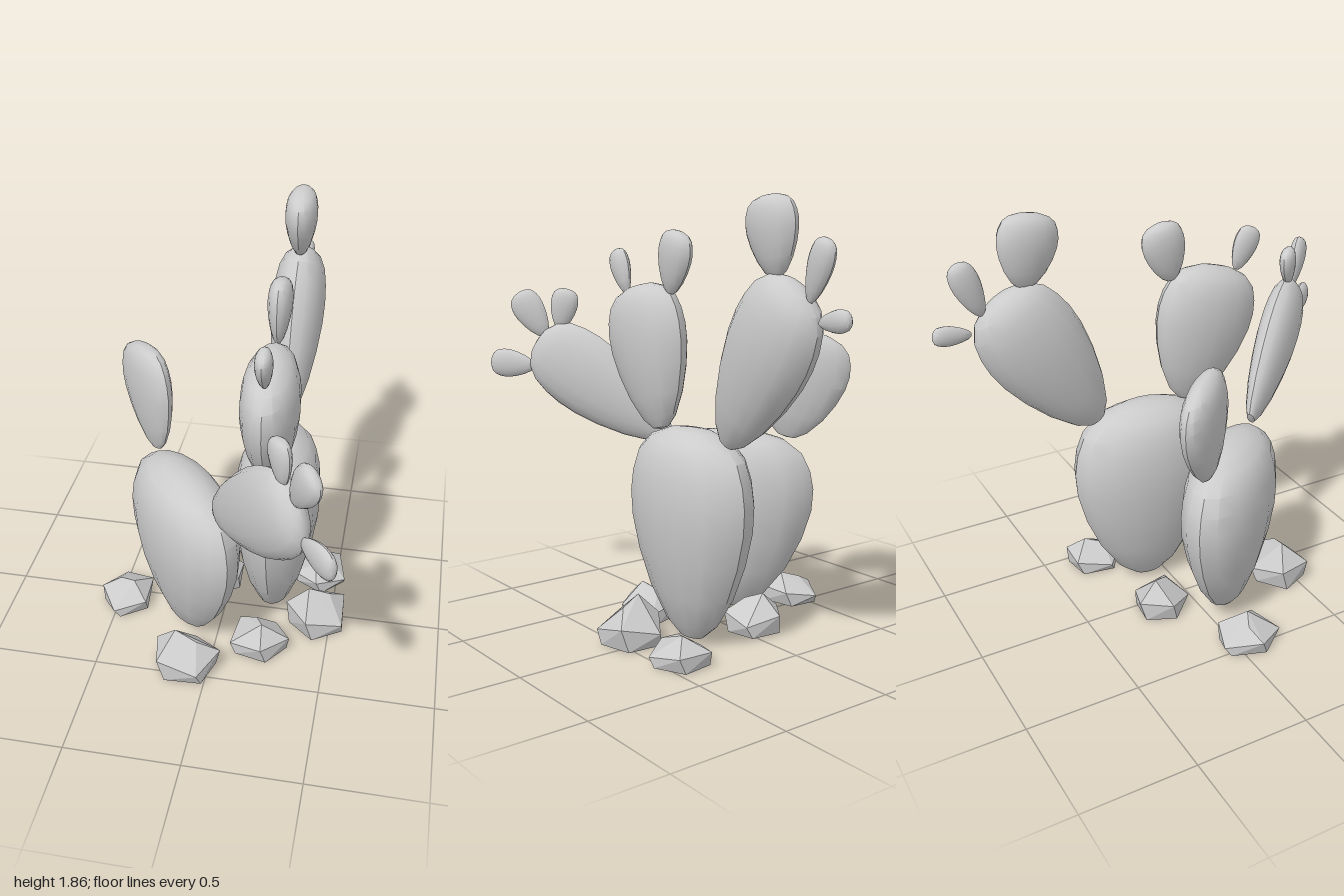
import * as THREE from 'three';
import { toCreasedNormals } from 'three/addons/utils/BufferGeometryUtils.js';
import { ConvexGeometry } from 'three/addons/geometries/ConvexGeometry.js';

const material = new THREE.MeshStandardMaterial({ color: 0xcccccc });

// Egg outline shared by all pads: [radius, height], blunt foot, widest above the middle
const outline = [[0, 0], [0.2, 0.012], [0.42, 0.08], [0.68, 0.23], [0.87, 0.4], [0.98, 0.56],
  [1, 0.68], [0.96, 0.78], [0.86, 0.875], [0.66, 0.945], [0.36, 0.985], [0, 1]]
  .map(([r, y]) => new THREE.Vector2(r, y));

// Normals of the two vertical planes in which the plants fan out
const straight = new THREE.Vector3(1, 0, 0);
const slanted = new THREE.Vector3(0.77, 0, -0.64).normalize();

// Flattened pad running from a base point to a tip point
function pad(name, normal, base, tip, width, thickness) {
  const foot = new THREE.Vector3(...base);
  const axis = new THREE.Vector3(...tip).sub(foot).projectOnPlane(normal);
  const length = axis.length();
  axis.normalize();
  const side = new THREE.Vector3().crossVectors(axis, normal);
  const geometry = new THREE.LatheGeometry(outline, 16);
  geometry.scale(width / 2, length, thickness / 2);
  const mesh = new THREE.Mesh(toCreasedNormals(geometry, 0.6), material);
  mesh.name = name;
  mesh.quaternion.setFromRotationMatrix(new THREE.Matrix4().makeBasis(side, axis, normal));
  mesh.position.copy(foot);
  return mesh;
}

// Angular stone: flat pentagon foot, wider shoulder, off-centre ridge
function rock(x, z, rx, rz, height, turn) {
  const points = [];
  for (let i = 0; i < 5; i++) {
    const a = turn + (i / 5) * Math.PI * 2;
    const shoulder = i % 2 ? 0.3 : 0.5;
    points.push(new THREE.Vector3(Math.cos(a) * rx * 0.9, 0, Math.sin(a) * rz * 0.9));
    points.push(new THREE.Vector3(Math.cos(a + 0.2) * rx, height * shoulder, Math.sin(a + 0.2) * rz));
  }
  points.push(new THREE.Vector3(Math.cos(turn) * rx * 0.3, height, Math.sin(turn) * rz * 0.3));
  points.push(new THREE.Vector3(-Math.cos(turn) * rx * 0.35, height * 0.82, -Math.sin(turn) * rz * 0.35));
  const mesh = new THREE.Mesh(new ConvexGeometry(points), material);
  mesh.name = 'rock';
  mesh.position.set(x, 0, z);
  return mesh;
}

export function createModel() {
  const model = new THREE.Group();
  model.name = 'cactus';

  // Larger plant, fanning front to back
  const large = new THREE.Group();
  large.name = 'largePlant';
  [
    ['trunkPad', [0.22, 0.01, -0.08], [0.22, 0.92, -0.08], 0.7, 0.38],
    ['rearArm', [0.22, 0.88, -0.31], [0.22, 1.53, -0.73], 0.43, 0.24],
    ['rearTopBud', [0.22, 1.55, -0.61], [0.22, 1.855, -0.565], 0.26, 0.14],
    ['rearMiddleBud', [0.22, 1.47, -0.79], [0.22, 1.7, -0.88], 0.12, 0.07],
    ['rearLowerBud', [0.22, 1.4, -0.84], [0.22, 1.42, -1], 0.085, 0.05],
    ['centreArm', [0.22, 0.88, 0.13], [0.22, 1.49, 0.28], 0.48, 0.24],
    ['centreBackBud', [0.22, 1.46, 0.06], [0.22, 1.72, 0.0], 0.2, 0.1],
    ['centreFrontBud', [0.22, 1.45, 0.38], [0.22, 1.635, 0.46], 0.12, 0.07],
  ].forEach(([name, ...rest]) => large.add(pad(name, straight, ...rest)));

  // Smaller plant, fanning along the slanted plane
  const small = new THREE.Group();
  small.name = 'smallPlant';
  [
    ['trunkPad', [-0.16, 0.01, 0.14], [-0.16, 0.84, 0.14], 0.77, 0.36],
    ['frontArm', [0.02, 0.8, 0.35], [0.42, 1.22, 0.83], 0.37, 0.17],
    ['frontTopBud', [0.345, 1.27, 0.75], [0.32, 1.455, 0.72], 0.13, 0.07],
    ['frontMiddleBud', [0.39, 1.24, 0.8], [0.47, 1.435, 0.9], 0.15, 0.07],
    ['frontLowerBud', [0.43, 1.1, 0.84], [0.57, 1.115, 1], 0.13, 0.06],
    ['backArm', [-0.325, 0.81, -0.06], [-0.4, 1.285, -0.15], 0.41, 0.14],
  ].forEach(([name, ...rest]) => small.add(pad(name, slanted, ...rest)));

  // Stones around the foot
  const rocks = new THREE.Group();
  rocks.name = 'rocks';
  [
    [-0.46, 0.06, 0.125, 0.15, 0.13, 0.4],
    [-0.06, -0.16, 0.13, 0.13, 0.17, 4.2],
    [0.42, -0.27, 0.13, 0.14, 0.13, 5.2],
    [0.44, 0.05, 0.145, 0.15, 0.2, 2.9],
    [-0.1, 0.45, 0.155, 0.135, 0.2, 3.4],
    [0.2, 0.26, 0.14, 0.125, 0.16, 1.2],
  ].forEach((stone) => rocks.add(rock(...stone)));

  model.add(large, small, rocks);
  return model;
}
